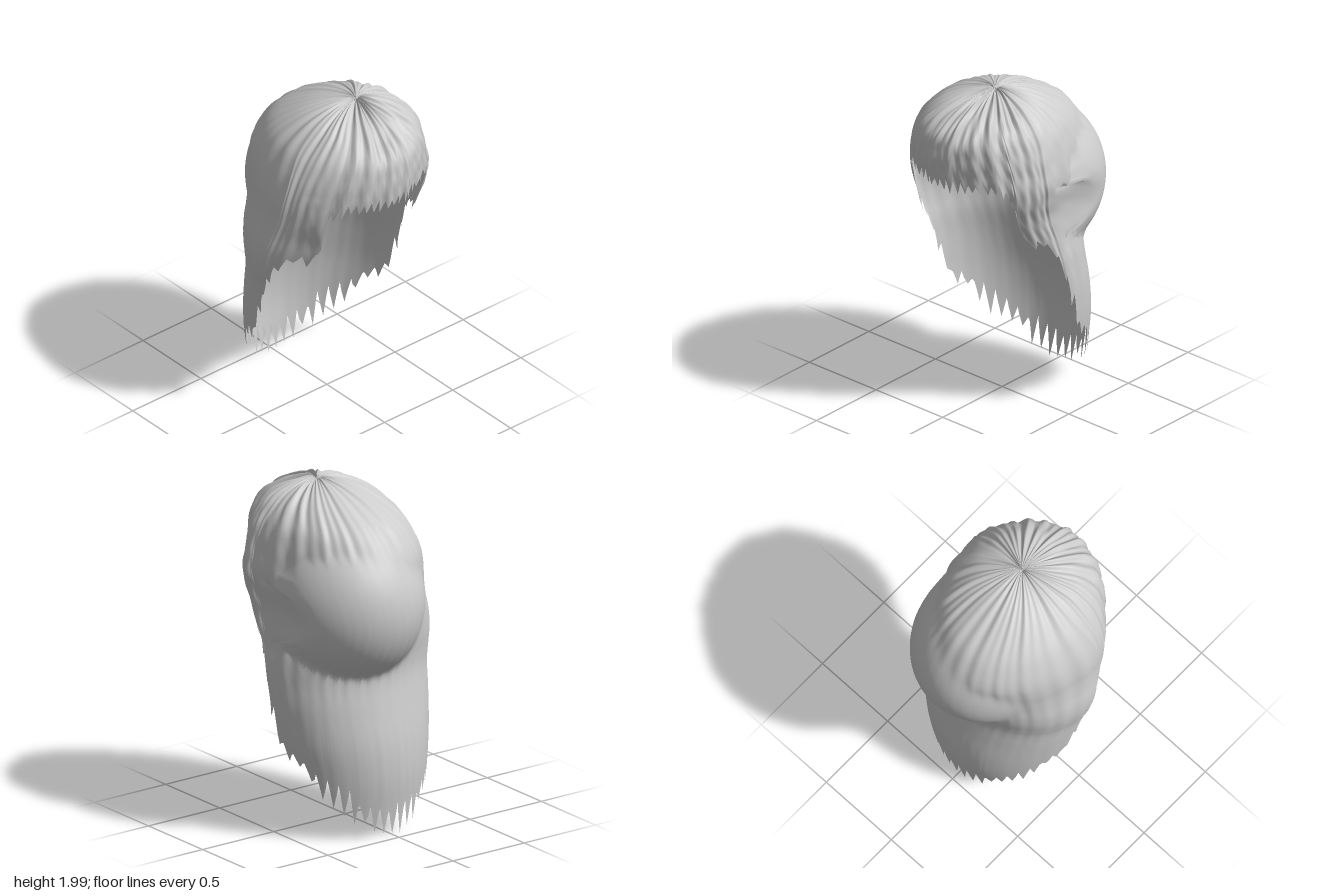
import * as THREE from 'three';

const COLS = 288, RINGS = 72;

// Horizontal sections from crown to tips: y, x min, x max, front z, back z, centre z
const SECTIONS = [
  [1.955, 0.08, 0.08, 0.15, 0.15, 0.15],
  [1.985, 0.04, 0.12, 0.19, 0.11, 0.15],
  [1.96, -0.09, 0.23, 0.31, -0.02, 0.15],
  [1.9, -0.22, 0.34, 0.44, -0.17, 0.15],
  [1.8, -0.34, 0.43, 0.55, -0.34, 0.16],
  [1.7, -0.41, 0.475, 0.575, -0.43, 0.18],
  [1.6, -0.455, 0.5, 0.575, -0.475, 0.19],
  [1.5, -0.48, 0.515, 0.56, -0.47, 0.18],
  [1.4, -0.49, 0.5, 0.54, -0.45, 0.16],
  [1.3, -0.505, 0.485, 0.51, -0.43, 0.13],
  [1.2, -0.525, 0.49, 0.48, -0.42, 0.1],
  [1.1, -0.53, 0.5, 0.45, -0.41, 0.07],
  [1.0, -0.52, 0.515, 0.42, -0.4, 0.05],
  [0.9, -0.5, 0.52, 0.41, -0.405, 0.03],
  [0.75, -0.485, 0.52, 0.4, -0.435, 0],
  [0.55, -0.47, 0.51, 0.4, -0.475, 0],
  [0.35, -0.45, 0.48, 0.4, -0.485, 0],
  [0.15, -0.43, 0.46, 0.4, -0.465, 0],
  [-0.05, -0.42, 0.44, 0.4, -0.445, 0],
];

// Hem line: degrees from the front, height, tooth size
const HEM = [
  [0, 1.52, 0.04], [35, 1.53, 0.045], [44, 1.46, 0.03], [46.5, 1.2, 0.02], [52, 1.12, 0.03],
  [60, 1.15, 0.03], [72, 1.04, 0.04], [83, 0.86, 0.05], [93, 0.7, 0.06], [101, 0.52, 0.04],
  [115, 0.45, 0.04], [125, 0.33, 0.07], [145, 0.23, 0.07], [160, 0.14, 0.08], [180, 0.09, 0.09],
];

const sectionCurve = (cols) => new THREE.CatmullRomCurve3(
  SECTIONS.map((s) => new THREE.Vector3(...cols.map((c) => s[c]))), false, 'catmullrom', 0.5);
const widthCurve = sectionCurve([0, 1, 2]);
const depthCurve = sectionCurve([3, 4, 5]);

const { smoothstep, clamp } = THREE.MathUtils;
const hash = (n) => { const s = Math.sin(n * 127.1 + 3.7) * 43758.5453; return s - Math.floor(s); };
const bell = (v, centre, width) => Math.exp(-(((v - centre) / width) ** 2));
// Signed angle from the front, in degrees; positive towards the left
const degrees = (col) => ((col / COLS) * 360 + 180) % 360 - 180;

// Ragged hem height for one column; the fringe reaches further round on the left
function hemHeight(col) {
  const signed = degrees(col);
  const deg = Math.abs(signed) - (signed > 0 ? 8 * smoothstep(signed, 5, 40) * (1 - smoothstep(signed, 60, 100)) : 0);
  let i = 1;
  while (i < HEM.length - 1 && HEM[i][0] < deg) i++;
  const [d0, y0, t0] = HEM[i - 1], [d1, y1, t1] = HEM[i];
  const f = (deg - d0) / (d1 - d0);
  const period = deg < 46 ? 4 : 6;
  const tooth = Math.abs((col % period) / period - 0.5) * 4 - 1;
  const size = (t0 + (t1 - t0) * f) * (0.5 + 0.8 * hash(Math.floor((col + period / 2) / period)));
  return Math.max(0, y0 + (y1 - y0) * f - tooth * size);
}

// Curve parameter at which a strand reaches its hem height
function hemParameter(y) {
  let lo = 2 / (SECTIONS.length - 1), hi = 1;
  for (let k = 0; k < 24; k++) {
    const mid = (lo + hi) / 2;
    if (widthCurve.getPoint(mid).x > y) lo = mid; else hi = mid;
  }
  return lo;
}

// Grooves running from the crown, softer at the back
function strand(a, y) {
  const wave = Math.sin(a * 38 + 2 * Math.sin(a * 5)) * 0.5
    + Math.sin(a * 23 + 1.3 + y * 1.5) * 0.5 + Math.sin(a * 11 + 0.6) * 0.4;
  const front = 0.5 + 0.5 * Math.cos(a - 0.5);
  const crimp = Math.sin(y * 45 + a * 17) * Math.sin(a * 29) * front * front * 0.35;
  return (wave * (0.35 + 0.65 * front) + crimp) * (0.15 + 0.85 * smoothstep(y, 0.7, 1.6));
}

// Rounded back of the head pushing the hair outwards
function headBulge(x, y, z, cos) {
  const inside = 1 - ((x - 0.08) / 0.44) ** 2 - ((y - 1.33) / 0.48) ** 2;
  if (inside <= 0 || cos >= 0) return z;
  const head = -0.08 - 0.5 * Math.sqrt(inside);
  const pushed = (z + head - Math.hypot(z - head, 0.02)) / 2;
  return z + (pushed - z) * smoothstep(-cos, 0, 0.35);
}

function hairGeometry() {
  const pos = [], index = [];
  const w = new THREE.Vector3(), d = new THREE.Vector3();
  for (let c = 0; c < COLS; c++) {
    const a = (c / COLS) * Math.PI * 2, deg = degrees(c);
    const end = hemParameter(hemHeight(c));
    const sin = Math.sin(a), cos = Math.cos(a);
    for (let r = 0; r <= RINGS; r++) {
      const u = end * (r / RINGS);
      widthCurve.getPoint(u, w);
      depthCurve.getPoint(u, d);
      const y = w.x;
      const groove = strand(a, y);
      const k = 1 + 0.022 * groove;
      // The front narrows to a rounded point below the crown
      const p = 1 + 0.65 * clamp((1.9 - y) / 0.3, 0, 1);
      let x = (w.y + w.z) / 2 + ((w.z - w.y) / 2) * sin * k;
      let z = cos > 0 ? d.z + (d.x - d.z) * Math.pow(cos, p) * k : d.z + (d.z - d.y) * cos * k;
      z = headBulge(x, y, z, cos);
      // Left temple swells outwards, right lock curls in over the cheek
      const temple = bell(deg, 60, 18) * bell(y, 1.35, 0.25);
      const lock = bell(deg, -50, 14) * smoothstep(-y, -1.42, -1.2);
      x += 0.02 * temple + 0.06 * lock;
      z += 0.045 * temple + 0.02 * lock;
      const lift = 0.012 * groove * smoothstep(y, 1.65, 1.9) * Math.min(1, u * 18);
      pos.push(x, y + lift, z);
    }
  }
  const n = RINGS + 1;
  for (let c = 0; c < COLS; c++) {
    const e = (c + 1) % COLS;
    for (let r = 0; r < RINGS; r++) {
      const p0 = c * n + r, p1 = e * n + r;
      if (r > 0) index.push(p0, p0 + 1, p1);
      index.push(p1, p0 + 1, p1 + 1);
    }
  }
  const g = new THREE.BufferGeometry();
  g.setAttribute('position', new THREE.Float32BufferAttribute(pos, 3));
  g.setIndex(index);
  g.computeVertexNormals();
  return g;
}

export function createModel() {
  const group = new THREE.Group();
  group.name = 'longHair';
  const grey = new THREE.MeshStandardMaterial({ color: 0xcccccc, side: THREE.DoubleSide });
  grey.name = 'light grey';
  const hair = new THREE.Mesh(hairGeometry(), grey);
  hair.name = 'hair';
  group.add(hair);
  return group;
}
